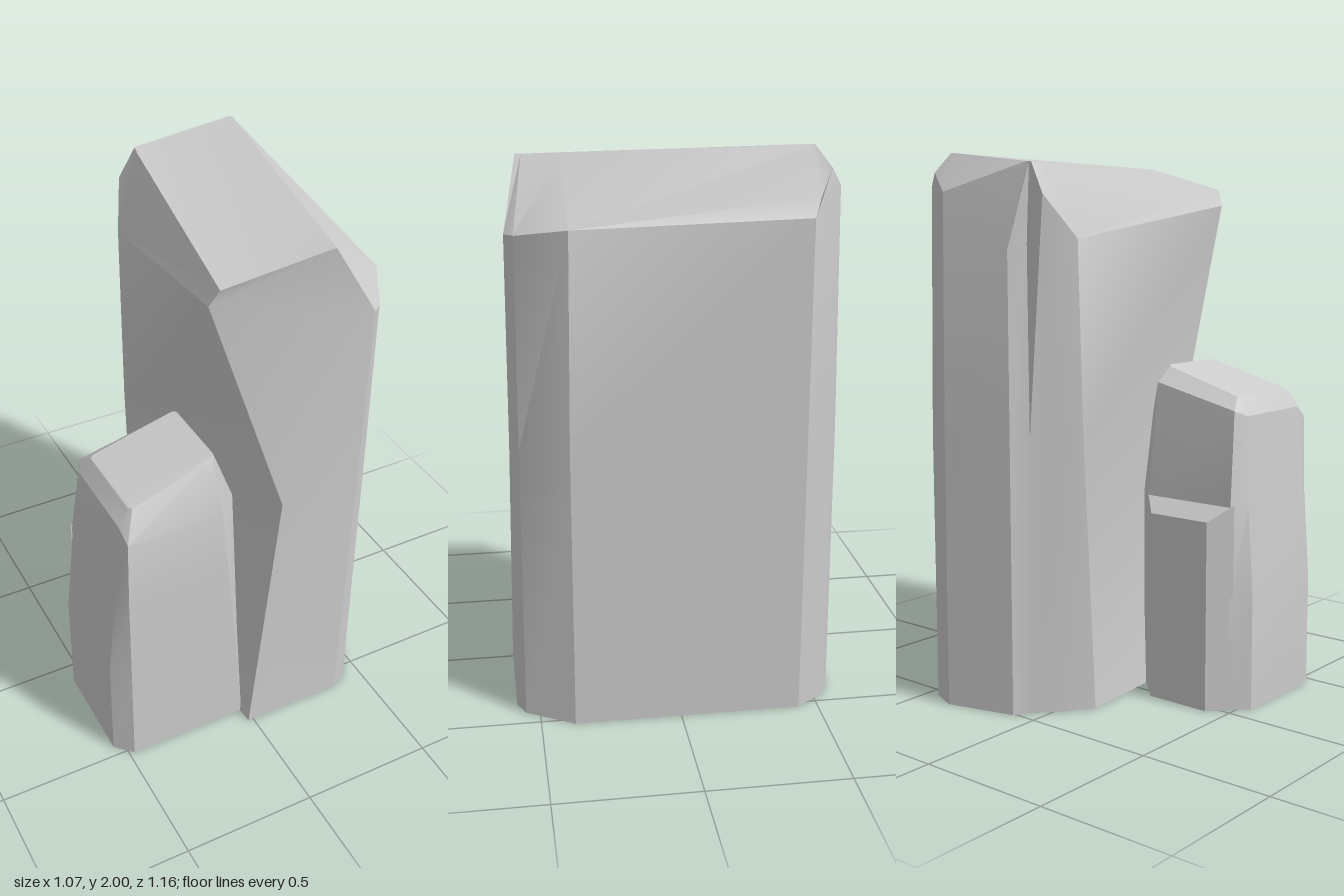
import * as THREE from 'three';
import { toCreasedNormals } from 'three/addons/utils/BufferGeometryUtils.js';

const material = new THREE.MeshStandardMaterial({ color: 0xcccccc });

// Skins a stack of equal-length rings (counter-clockwise from above), closed at both ends.
function loft(name, rings) {
  const pos = [];
  const tri = (a, b, c) => {
    if (a !== b && b !== c && c !== a) pos.push(...a, ...b, ...c);
  };
  const n = rings[0].length;
  for (let r = 0; r < rings.length - 1; r++) {
    const lo = rings[r], hi = rings[r + 1];
    for (let i = 0; i < n; i++) {
      const j = (i + 1) % n;
      tri(lo[i], lo[j], hi[j]);
      tri(lo[i], hi[j], hi[i]);
    }
  }
  // Caps
  const top = rings[rings.length - 1], base = rings[0];
  const outline = (ring) => ring.map(([x, , z]) => new THREE.Vector2(x, -z));
  for (const [a, b, c] of THREE.ShapeUtils.triangulateShape(outline(base), [])) tri(base[a], base[c], base[b]);
  for (const [a, b, c] of THREE.ShapeUtils.triangulateShape(outline(top), [])) tri(top[a], top[b], top[c]);
  const geo = new THREE.BufferGeometry();
  geo.setAttribute('position', new THREE.Float32BufferAttribute(pos, 3));
  const mesh = new THREE.Mesh(toCreasedNormals(geo, 0.45), material);
  mesh.name = name;
  return mesh;
}

// Gives a flat [x, z] outline a height.
const level = (y, outline) => outline.map(([x, z]) => [x, y, z]);

export function createModel() {
  const group = new THREE.Group();
  group.name = 'rockPillars';

  // Tall pillar: pinched waist at the front left, notched back corner, bevelled crown
  const shoulder = [[-0.14, 1.82, 0.43], [0.395, 1.73, 0.57], [0.43, 1.73, 0.54], [0.53, 1.76, 0.37],
    [0.53, 1.78, -0.43], [0.46, 1.88, -0.51], [0.35, 1.86, -0.56], [0.09, 1.66, -0.51],
    [0.05, 1.68, -0.455], [-0.03, 1.85, -0.46], [-0.09, 1.7, -0.35]];
  // The right rim rises towards the back, leaving a thin sloping ledge under it
  const rim = [...shoulder];
  rim[4] = [0.48, 1.84, -0.46];
  rim[5] = [0.455, 1.93, -0.5];
  group.add(loft('tallPillar', [
    level(0, [[-0.02, 0.58], [0.37, 0.58], [0.43, 0.55], [0.53, 0.38], [0.53, -0.43],
      [0.45, -0.54], [0.35, -0.58], [0.09, -0.51], [0.05, -0.45], [-0.02, -0.375], [-0.095, -0.27]]),
    level(1, [[0.11, 0.53], [0.385, 0.575], [0.43, 0.545], [0.53, 0.38], [0.53, -0.43],
      [0.45, -0.54], [0.35, -0.575], [0.09, -0.51], [0.05, -0.45], [-0.02, -0.405], [-0.095, -0.33]]),
    shoulder,
    rim,
    [[-0.11, 1.88, 0.45], [0.26, 1.97, 0.52], [0.264, 1.97, 0.5], [0.285, 1.975, 0.37],
      [0.42, 2, -0.44], [0.42, 2, -0.45], [0.41, 2, -0.452], [0.05, 1.96, -0.452],
      [0.04, 1.96, -0.451], [0.03, 1.958, -0.45], [0.02, 1.955, -0.41]],
  ]));

  // Short pillar: upright to mid height, then leaning inward to a tilted top
  group.add(loft('shortPillar', [
    level(0, [[-0.48, 0.52], [-0.02, 0.52], [-0.01, 0.5], [-0.02, 0.11], [-0.11, 0.02], [-0.48, 0.02], [-0.54, 0.08], [-0.54, 0.46]]),
    level(0.42, [[-0.48, 0.518], [-0.055, 0.515], [-0.02, 0.465], [-0.02, 0.11], [-0.11, 0.02], [-0.48, 0.02], [-0.54, 0.08], [-0.54, 0.46]]),
    level(0.75, [[-0.48, 0.515], [-0.085, 0.508], [-0.025, 0.44], [-0.02, 0.11], [-0.11, 0.02], [-0.48, 0.02], [-0.51, 0.09], [-0.51, 0.46]]),
    [[-0.475, 1.03, 0.51], [-0.11, 1.02, 0.5], [-0.03, 1.02, 0.42], [-0.03, 1.05, 0.15],
      [-0.11, 1.17, 0.075], [-0.455, 1.09, 0.075], [-0.48, 1.07, 0.12], [-0.48, 1.07, 0.45]],
    [[-0.43, 1.135, 0.455], [-0.12, 1.22, 0.44], [-0.11, 1.23, 0.42], [-0.11, 1.23, 0.15],
      [-0.12, 1.225, 0.135], [-0.43, 1.135, 0.13], [-0.44, 1.13, 0.14], [-0.44, 1.13, 0.44]],
  ]));

  // Low step behind the short pillar, sloping up to its back wall
  const step = [[-0.1, 0.03], [-0.17, -0.04], [-0.42, -0.04], [-0.49, 0.03]];
  group.add(loft('backStep', [
    level(0, step),
    step.map(([x, z]) => [x, z < 0 ? 0.7 : 0.76, z]),
  ]));

  return group;
}
